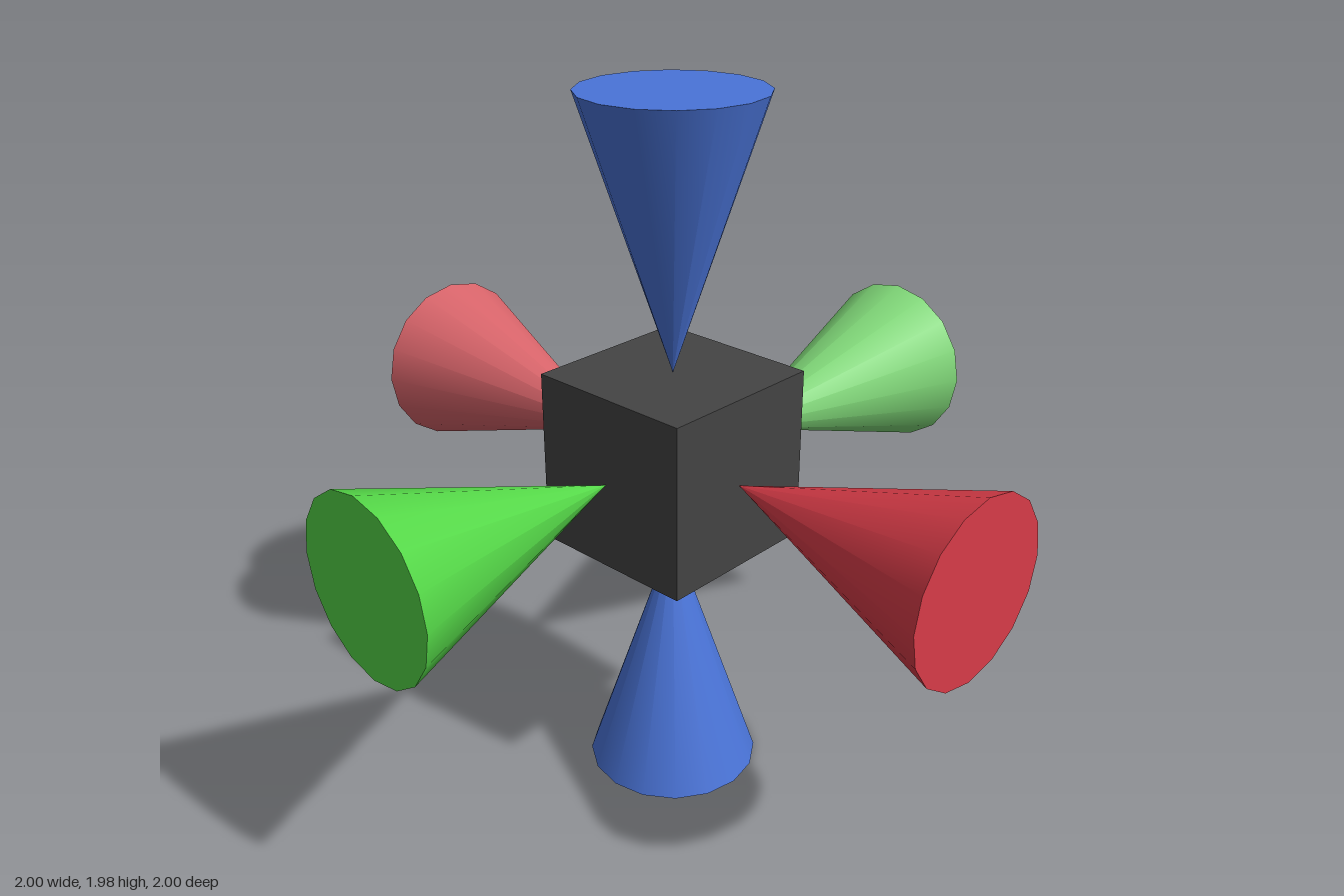
import * as THREE from 'three';

const HALF = 0.248;          // half the cube's edge, also the cone radius
const REACH = 4 * HALF;      // distance from centre to each cone base
const TWIST = -0.036;        // slight turn of the horizontal ring of cones

export function createModel() {
  const model = new THREE.Group();
  model.name = 'axisMarker';
  const centre = new THREE.Group();
  centre.name = 'body';
  centre.position.y = REACH;
  model.add(centre);

  // Central cube
  const cube = new THREE.Mesh(
    new THREE.BoxGeometry(2 * HALF, 2 * HALF, 2 * HALF),
    new THREE.MeshStandardMaterial({ color: 0x444444 })
  );
  cube.name = 'cube';
  centre.add(cube);

  // One cone with its tip on the cube and its base outward, modelled along -y
  const height = REACH - HALF;
  const coneShape = new THREE.ConeGeometry(HALF, height, 16);
  coneShape.translate(0, -(HALF + height / 2), 0);

  const addCone = (parent, name, color, rx, rz) => {
    const cone = new THREE.Mesh(coneShape, new THREE.MeshStandardMaterial({ color }));
    cone.name = name;
    cone.rotation.set(rx, 0, rz);
    parent.add(cone);
  };

  // Vertical pair
  addCone(centre, 'bottomCone', 0x4a74d8, 0, 0);
  addCone(centre, 'topCone', 0x4a74d8, 0, Math.PI);

  // Horizontal ring, turned slightly about the vertical
  const ring = new THREE.Group();
  ring.name = 'horizontalCones';
  ring.rotation.y = TWIST;
  centre.add(ring);
  const q = Math.PI / 2;
  addCone(ring, 'leftCone', 0xd83c48, 0, q);
  addCone(ring, 'rightCone', 0xd8646a, 0, -q);
  addCone(ring, 'frontCone', 0x55d848, -q, 0);
  addCone(ring, 'backCone', 0x80d878, q, 0);

  return model;
}
